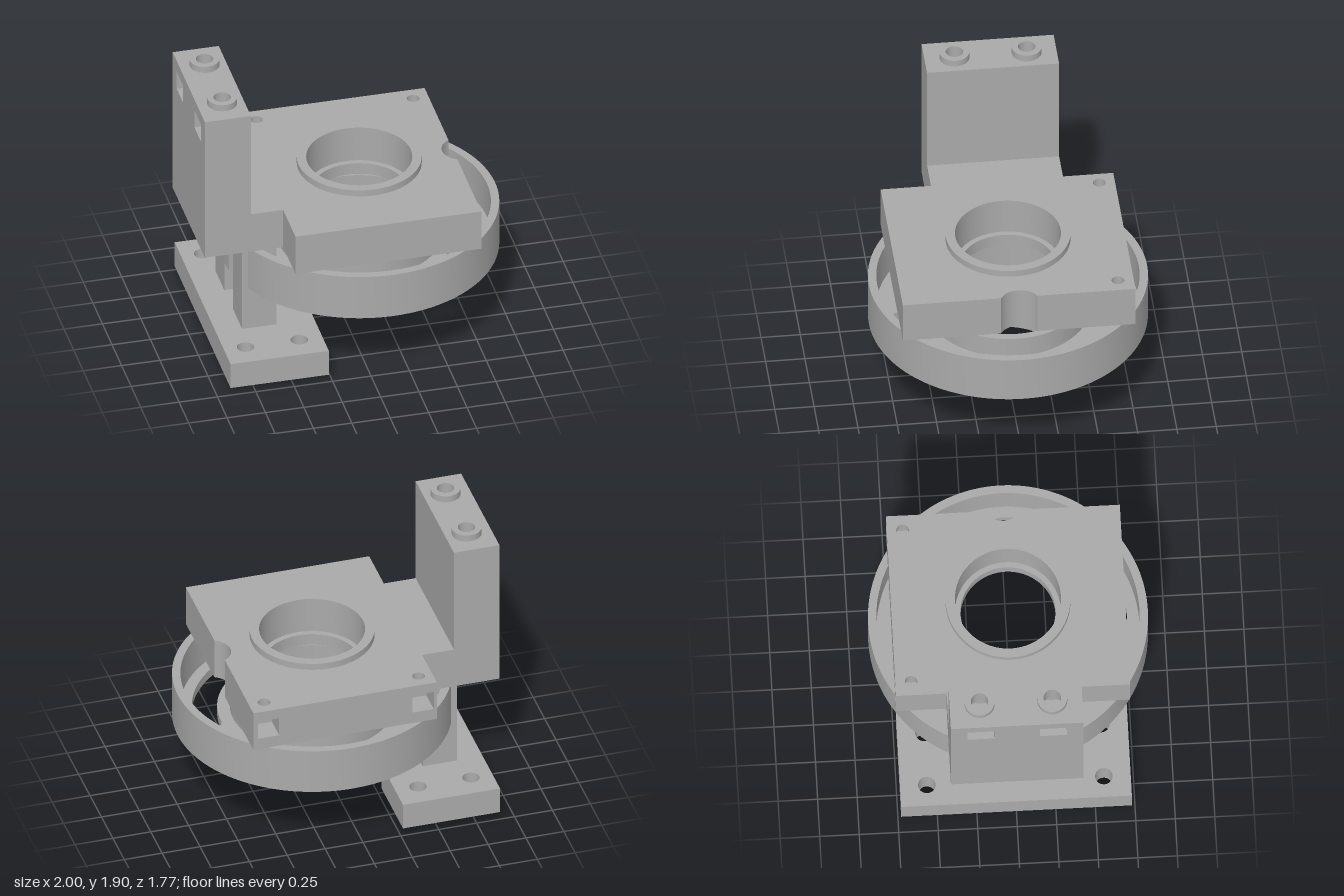
import * as THREE from 'three';
import { toCreasedNormals } from 'three/addons/utils/BufferGeometryUtils.js';

const CX = 0.11; // shared axis of the bore and the drum
const rad = THREE.MathUtils.degToRad;

export function createModel() {
  const model = new THREE.Group();
  const grey = new THREE.MeshStandardMaterial({ color: 0xaaaaaa });
  grey.name = 'machined grey';

  const add = (name, geometry) => {
    const mesh = new THREE.Mesh(geometry, grey);
    mesh.name = name;
    model.add(mesh);
    return mesh;
  };
  // Plan outline (x, -z) raised from y0 to y1
  const slab = (name, shape, y0, y1) => {
    const g = new THREE.ExtrudeGeometry(shape, { depth: y1 - y0, bevelEnabled: false, curveSegments: 64 });
    g.rotateX(-Math.PI / 2).translate(0, y0, 0);
    return add(name, toCreasedNormals(g, rad(30)));
  };
  const box = (name, x0, x1, y0, y1, z0, z1) =>
    add(name, new THREE.BoxGeometry(x1 - x0, y1 - y0, z1 - z0)
      .translate((x0 + x1) / 2, (y0 + y1) / 2, (z0 + z1) / 2));
  const circle = (x, y, r) => new THREE.Path().absarc(x, y, r, 0, Math.PI * 2, false);
  const disc = (x, y, r, ...holes) => {
    const s = new THREE.Shape().absarc(x, y, r, 0, Math.PI * 2, false);
    s.holes.push(...holes);
    return s;
  };

  // Bearing plate with its neck, cut in layers so the nut pockets are real
  const plateShape = (bore, pockets, screws) => {
    const s = new THREE.Shape();
    s.moveTo(-1, -0.42);
    s.lineTo(-0.49, -0.42);
    s.lineTo(-0.49, -0.74);
    s.lineTo(0.72, -0.74);
    s.lineTo(0.72, -0.115);
    s.absarc(0.78, 0, 0.13, rad(242.5), rad(117.5), true);
    s.lineTo(0.72, 0.74);
    if (pockets) for (const x of [0.62, -0.4]) {
      s.lineTo(x + 0.07, 0.74);
      s.lineTo(x + 0.07, 0.58);
      s.lineTo(x - 0.07, 0.58);
      s.lineTo(x - 0.07, 0.74);
    }
    s.lineTo(-0.49, 0.74);
    s.lineTo(-0.49, 0.42);
    s.lineTo(-1, 0.42);
    s.closePath();
    s.holes.push(circle(CX, 0, bore));
    if (screws) for (const x of [0.62, -0.4]) s.holes.push(circle(x, 0.64, 0.04));
    return s;
  };
  slab('plateBottom', plateShape(0.3, false, false), 0.84, 0.92);
  slab('platePocketLayer', plateShape(0.335, true, false), 0.92, 1.05);
  slab('plateTop', plateShape(0.335, false, true), 1.05, 1.12);
  slab('boreRim', disc(CX, 0, 0.395, circle(CX, 0, 0.335)), 1.12, 1.165);

  // Upright wall with two pockets in its outer face
  const wallShape = (pockets, screws) => {
    const s = new THREE.Shape();
    s.moveTo(-1, -0.42);
    s.lineTo(-0.7, -0.42);
    s.lineTo(-0.7, 0.42);
    s.lineTo(-1, 0.42);
    if (pockets) for (const z of [0.23, -0.23]) {
      s.lineTo(-1, z + 0.085);
      s.lineTo(-0.76, z + 0.085);
      s.lineTo(-0.76, z - 0.085);
      s.lineTo(-1, z - 0.085);
    }
    s.closePath();
    if (screws) for (const z of [0.23, -0.23]) s.holes.push(circle(-0.84, z, 0.055));
    return s;
  };
  slab('wall', wallShape(false, false), 1.12, 1.65);
  slab('wallPocketLayer', wallShape(true, false), 1.65, 1.78);
  slab('wallTop', wallShape(false, true), 1.78, 1.86);
  for (const z of [0.23, -0.23])
    slab('wallBoss', disc(-0.84, z, 0.095, circle(-0.84, z, 0.055)), 1.86, 1.905);

  // Drum: outer wall in two arcs that leave room for the legs
  const arcBand = (a0, a1) => {
    const s = new THREE.Shape();
    s.absarc(CX, 0, 0.885, rad(a0), rad(a1), false);
    s.absarc(CX, 0, 0.832, rad(a1), rad(a0), true);
    s.closePath();
    return s;
  };
  slab('drumWall', arcBand(-156.7, 156.7), 0.52, 0.83);
  slab('drumWallBetweenLegs', arcBand(172.5, 187.5), 0.52, 0.83);

  // Drum floor with the curved slot and the large opening
  const a0 = 0, a1 = rad(-85), mid = 0.68, half = 0.08;
  const slot = new THREE.Path();
  slot.absarc(CX, 0, mid + half, a1, a0, false);
  slot.absarc(CX + mid, 0, half, 0, Math.PI, false);
  slot.absarc(CX, 0, mid - half, a0, a1, true);
  slot.absarc(CX + mid * Math.cos(a1), mid * Math.sin(a1), half, a1 + Math.PI, a1 + Math.PI * 2, false);
  slab('drumFloor', disc(CX, 0, 0.835, circle(CX, 0, 0.47), slot), 0.52, 0.58);
  slab('drumHub', disc(CX, 0, 0.52, circle(CX, 0, 0.47)), 0.58, 0.72);

  // Foot plate with a curved bite in its inner edge and four bolt holes
  const foot = new THREE.Shape();
  foot.moveTo(-0.91, -0.73);
  foot.lineTo(-0.27, -0.73);
  foot.lineTo(-0.27, -0.26);
  foot.absarc(-0.02, 0, 0.361, rad(180 + 46.1), rad(180 - 46.1), true);
  foot.lineTo(-0.27, 0.73);
  foot.lineTo(-0.91, 0.73);
  foot.closePath();
  for (const x of [-0.77, -0.42]) for (const z of [-0.56, 0.56]) foot.holes.push(circle(x, z, 0.055));
  slab('footPlate', foot, 0.04, 0.22);
  box('footKey', -0.655, -0.515, 0, 0.04, -0.35, 0.35);

  // Two legs from the foot to the bracket
  for (const s of [1, -1])
    box('leg', -0.74, -0.515, 0.22, 0.84, Math.min(s * 0.115, s * 0.35), Math.max(s * 0.115, s * 0.35));

  return model;
}
